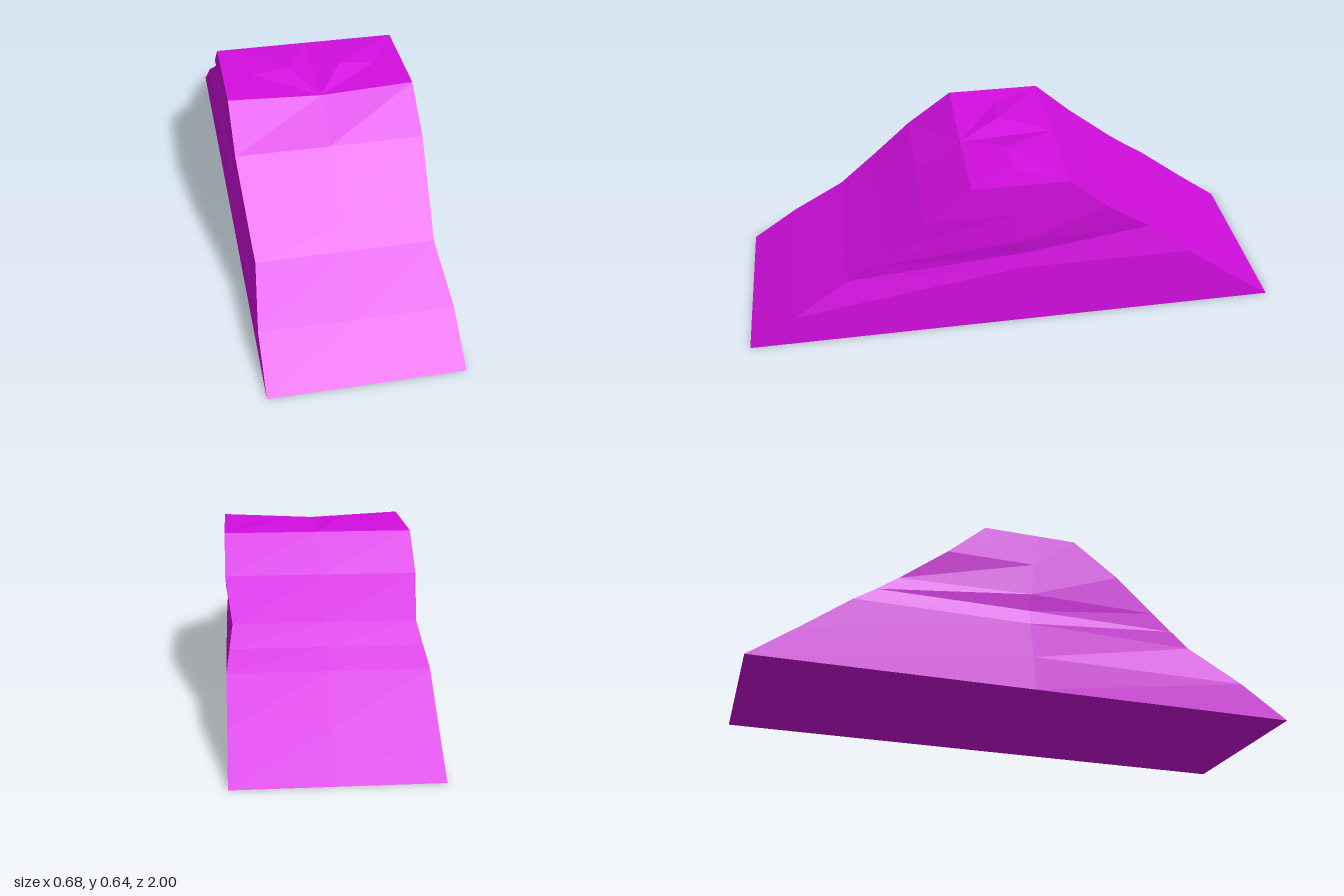
import * as THREE from 'three';

const W = 0.34; // half width

// Level sections: [y, frontZ, backZ, half widths at the front edge, middle, back edge]
const LEVELS = [
  [0, 1, -1, W, W, W],
  [0.125, 0.82, -0.83, W, W, W],
  [0.255, 0.62, -0.66, 0.317, W, W],
  [0.3125, 0.55, -0.58, 0.323, 0.328, 0.3285],
  [0.375, 0.475, -0.5, 0.3285, W, 0.317],
  [0.5, 0.33, -0.33, W, W, W],
  [0.625, 0.16, -0.19, W, W, W],
];

function meshFrom(name, positions, material) {
  const geometry = new THREE.BufferGeometry();
  geometry.setAttribute('position', new THREE.Float32BufferAttribute(positions, 3));
  geometry.computeVertexNormals();
  const mesh = new THREE.Mesh(geometry, material);
  mesh.name = name;
  return mesh;
}

// Closed ring of corners at one level, counter-clockwise from above
function ring([y, f, b, xf, xm, xb], frontY = y) {
  const m = (f + b) / 2;
  return [
    [0, frontY, f], [xf, y, f], [xm, y, m], [xb, y, b],
    [0, y, b], [-xb, y, b], [-xm, y, m], [-xf, y, f],
  ];
}

export function createModel() {
  const group = new THREE.Group();
  group.name = 'wedgeRamp';
  const material = new THREE.MeshStandardMaterial({ color: 0xd40ee0, flatShading: true });

  // Sloped front and back with pinched side walls; the front lip dips in the middle
  const rings = LEVELS.map((level, i) => ring(level, i === LEVELS.length - 1 ? 0.608 : level[0]));
  const body = [];
  for (let i = 0; i < rings.length - 1; i++) {
    for (let j = 0; j < 8; j++) {
      const k = (j + 1) % 8;
      const a = rings[i][j], b = rings[i][k], c = rings[i + 1][k], d = rings[i + 1][j];
      body.push(...a, ...b, ...c, ...a, ...c, ...d);
    }
  }
  group.add(meshFrom('slopedBody', body, material));

  // Flat underside
  const base = [];
  for (let j = 0; j < 8; j++) base.push(0, 0, 0, ...rings[0][(j + 1) % 8], ...rings[0][j]);
  group.add(meshFrom('underside', base, material));

  // Faceted top with two small peaks, mirrored across the centre line
  const lip = [0, 0.608, 0.16], front = [W, 0.625, 0.16], back = [W, 0.625, -0.19];
  const rear = [0, 0.625, -0.19], peak = [0.1, 0.64, 0], shoulder = [0.23, 0.622, 0];
  const facets = [
    [lip, front, shoulder], [front, back, shoulder], [lip, shoulder, peak],
    [peak, shoulder, back], [peak, back, rear], [lip, peak, rear],
  ];
  const top = [];
  for (const [a, b, c] of facets) {
    top.push(...a, ...b, ...c);
    for (const [x, y, z] of [a, c, b]) top.push(-x, y, z);
  }
  group.add(meshFrom('facetedTop', top, material));

  return group;
}
